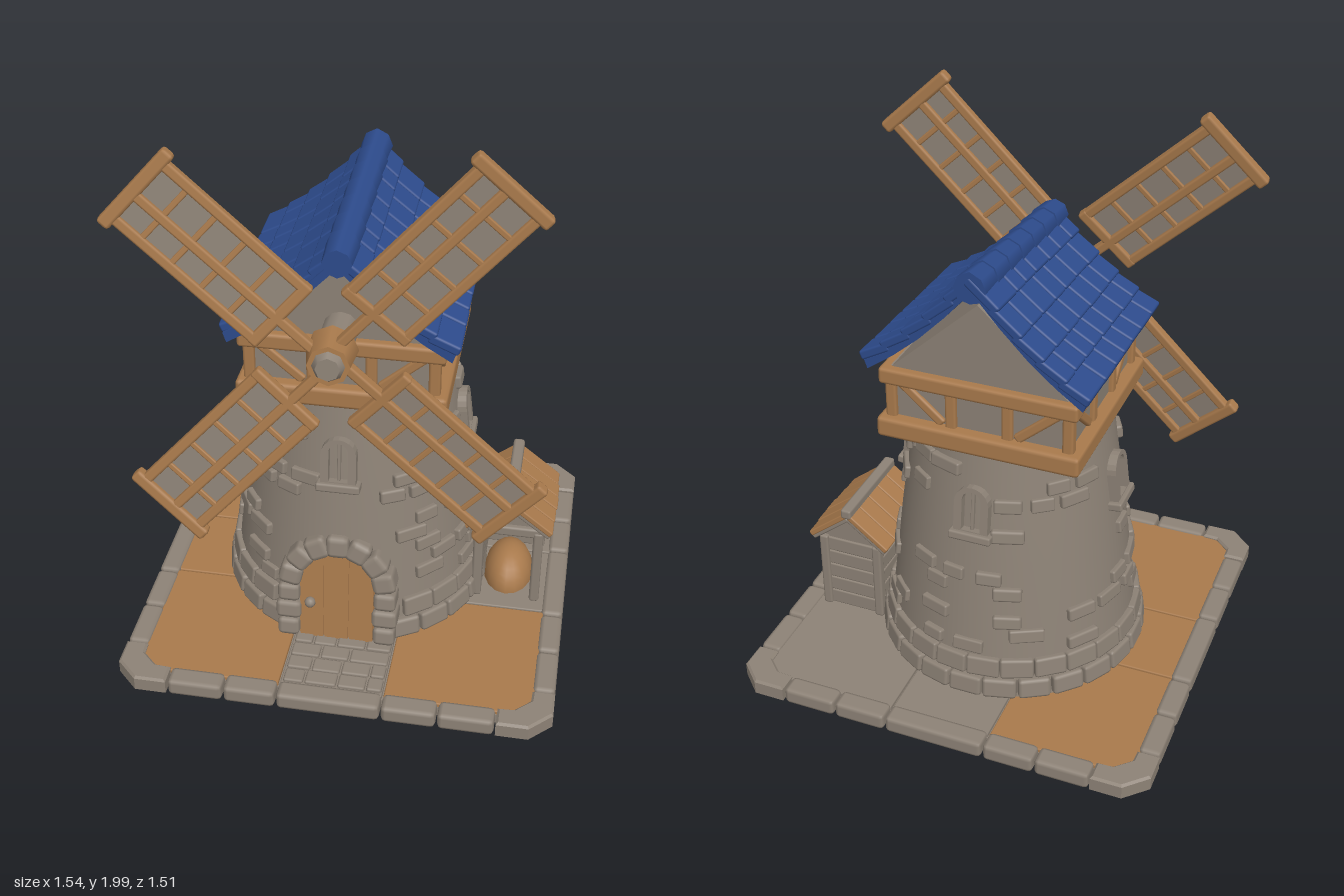
import * as THREE from 'three';
import { RoundedBoxGeometry } from 'three/addons/geometries/RoundedBoxGeometry.js';
import { mergeGeometries } from 'three/addons/utils/BufferGeometryUtils.js';

const mat = (name, color) => {
  const m = new THREE.MeshStandardMaterial({ color });
  m.name = name;
  return m;
};
const stone = mat('stone', 0x8d8276);
const wood = mat('wood', 0xa97a4c);
const blue = mat('roofBlue', 0x2d4b8c);

let seed = 7;
const rnd = () => (seed = (seed * 16807) % 2147483647) / 2147483647;

const CX = -0.03, CZ = -0.04;                    // tower axis
const PROFILE = [[0.05, 0.47], [0.2, 0.45], [0.6, 0.402], [0.85, 0.366], [1.0, 0.345]];
const towerR = (y) => {
  let i = 0;
  while (i < PROFILE.length - 2 && y > PROFILE[i + 1][0]) i++;
  const [y0, r0] = PROFILE[i], [y1, r1] = PROFILE[i + 1];
  return r0 + (r1 - r0) * (y - y0) / (y1 - y0);
};

function add(parent, name, geo, material, x = 0, y = 0, z = 0) {
  const m = new THREE.Mesh(geo, material);
  m.name = name;
  m.position.set(x, y, z);
  parent.add(m);
  return m;
}
const rgeo = (w, h, d) => new RoundedBoxGeometry(w, h, d, 1, Math.min(w, h, d) * 0.25);
const block = (p, name, material, w, h, d, x, y, z) => add(p, name, rgeo(w, h, d), material, x, y, z);
function group(parent, name, x = 0, y = 0, z = 0) {
  const g = new THREE.Group();
  g.name = name;
  g.position.set(x, y, z);
  parent.add(g);
  return g;
}
// Bar between two points in the xy plane
function bar(p, name, material, x0, y0, x1, y1, w, d, z) {
  const m = block(p, name, material, Math.hypot(x1 - x0, y1 - y0), w, d, (x0 + x1) / 2, (y0 + y1) / 2, z);
  m.rotation.z = Math.atan2(y1 - y0, x1 - x0);
  return m;
}
const poly = (pts) => new THREE.Shape(pts.map(([x, y]) => new THREE.Vector2(x, y)));
const extrude = (shape, depth, bevel = 0) => new THREE.ExtrudeGeometry(shape, {
  depth, bevelEnabled: bevel > 0, bevelSize: bevel, bevelThickness: bevel, bevelOffset: -bevel, bevelSegments: 1, curveSegments: 10 });
function archPoints(r, spring) {
  const pts = [[-r, 0], [r, 0]];
  for (let i = 0; i <= 10; i++) pts.push([r * Math.cos(i * Math.PI / 10), spring + r * Math.sin(i * Math.PI / 10)]);
  return pts;
}
// Group lying on the tower wall, facing outward at angle a
function onWall(parent, name, a, y) {
  const r = towerR(y);
  const g = group(parent, name, CX + Math.sin(a) * r, y, CZ + Math.cos(a) * r);
  g.rotation.set(-0.12, a, 0, 'YXZ');
  return g;
}

function buildBase(root) {
  const g = group(root, 'base');
  add(g, 'slab', new THREE.BoxGeometry(1.4, 0.036, 1.38), stone, 0, 0.021, 0);
  // Ground panels, row by row from the back
  const xs = [-0.7, -0.187, 0.18, 0.7], zs = [-0.69, -0.18, 0.16, 0.69];
  const cells = [[wood, stone, stone], [wood, stone, stone], [wood, stone, wood]];
  cells.forEach((row, j) => row.forEach((m, i) => block(g, 'groundPanel', m,
    xs[i + 1] - xs[i] - 0.006, 0.02, zs[j + 1] - zs[j] - 0.006, (xs[i] + xs[i + 1]) / 2, 0.043, (zs[j] + zs[j + 1]) / 2)));
  // Kerb stones along each side
  const cuts = [-0.575, -0.375, -0.187, 0.18, 0.375, 0.575];
  for (let i = 0; i < 5; i++) {
    const len = cuts[i + 1] - cuts[i] - 0.006, mid = (cuts[i] + cuts[i + 1]) / 2;
    for (const s of [-1, 1]) {
      block(g, 'kerbStone', stone, len, 0.065, 0.078, mid, 0.0325, s * 0.716);
      block(g, 'kerbStone', stone, 0.078, 0.065, len, s * 0.729, 0.0325, mid);
    }
  }
  // Chamfered corner kerbs
  const corner = [[0.768, 0.578], [0.768, 0.68], [0.69, 0.755], [0.578, 0.755], [0.578, 0.678], [0.635, 0.675], [0.688, 0.625], [0.69, 0.578]];
  for (const sx of [-1, 1]) for (const sz of [-1, 1]) {
    const pts = corner.map(([x, z]) => [x * sx, z * sz]);
    const m = add(g, 'cornerKerb', extrude(poly(pts), 0.049, 0.008), stone, 0, 0.057, 0);
    m.rotation.x = Math.PI / 2;
  }
  // Cobbled path to the door
  for (let r = 0; r < 4; r++) {
    let x = -0.178;
    while (x < 0.13) {
      let w = 0.07 + rnd() * 0.05;
      if (x + w > 0.13) w = 0.176 - x;
      block(g, 'cobble', stone, w - 0.006, 0.03, 0.06, x + w / 2, 0.047 + rnd() * 0.005, 0.445 + r * 0.066);
      x += w;
    }
  }
}

function buildTower(root) {
  const g = group(root, 'tower');
  const body = PROFILE.map(([y, r]) => new THREE.Vector2(r, y));
  add(g, 'towerWall', new THREE.LatheGeometry(body, 48), stone, CX, 0, CZ);
  const brick = (a, y, w, h, d) => block(onWall(g, 'brick', a, y), 'brickStone', stone, w, h, d, 0, 0, 0);
  // Two base courses, leaving room for the door
  for (let row = 0; row < 2; row++) for (let i = 0; i < 24; i++) {
    const a = (i + row * 0.5) * Math.PI / 12;
    if (Math.cos(a) < 0.9) brick(a, 0.095 + row * 0.08, 0.115 + rnd() * 0.008, 0.075, 0.05 - row * 0.012);
  }
  // Scattered raised bricks
  for (let row = 0; row < 13; row++) for (let i = 0; i < 20; i++) {
    const y = 0.25 + row * 0.056, a = (i + (row % 2) * 0.5) * Math.PI / 10, keep = rnd();
    const nearDoor = Math.cos(a) > 0.82 && y < 0.54;
    const nearWindow = Math.abs(Math.sin(2 * a)) < 0.5 && y > 0.63 && y < 0.92;
    if (keep < 0.36 && !nearDoor && !nearWindow) brick(a, y, 0.08 + rnd() * 0.05, 0.05, 0.026 + rnd() * 0.012);
  }
  // Arched windows on all four sides
  for (let k = 0; k < 4; k++) {
    const w = onWall(g, 'window', k * Math.PI / 2, 0.7);
    const frame = poly(archPoints(0.062, 0.115));
    frame.holes.push(new THREE.Path(archPoints(0.034, 0.115).map(([x, y]) => new THREE.Vector2(x, y + 0.012))));
    add(w, 'windowFrame', extrude(frame, 0.045), stone, 0, 0, -0.02);
    block(w, 'windowSill', stone, 0.155, 0.032, 0.07, 0, -0.008, 0.005);
    block(w, 'windowBar', stone, 0.012, 0.15, 0.02, 0, 0.085, 0.002);
  }
  // Door of three planks with a stone arch
  const d = onWall(g, 'door', 0, 0.06), spring = 0.22, R = 0.135;
  add(d, 'doorBacking', extrude(poly(archPoints(R, spring)), 0.04), wood, 0, 0, -0.038);
  for (let k = 0; k < 3; k++) {
    const x0 = -R + k * 0.09 + 0.003, x1 = x0 + 0.084, pts = [[x0, 0], [x1, 0]];
    for (let i = 0; i <= 5; i++) {
      const x = x1 + (x0 - x1) * i / 5;
      pts.push([x, spring + Math.sqrt(R * R - x * x)]);
    }
    add(d, 'doorPlank', extrude(poly(pts), 0.008), wood, 0, 0, 0.002);
  }
  add(d, 'doorHandle', new THREE.SphereGeometry(0.02, 10, 8), stone, -0.095, 0.15, 0.018);
  for (let i = 0; i < 7; i++) {
    const a = (i + 0.5) * Math.PI / 7;
    const m = block(d, 'archStone', stone, 0.085, 0.083, 0.1, Math.cos(a) * 0.17, spring + Math.sin(a) * 0.17, -0.022);
    m.rotation.z = a;
  }
  for (const s of [-1, 1]) for (let i = 0; i < 3; i++)
    block(d, 'jambStone', stone, 0.08 + (i % 2) * 0.012, 0.07, 0.12, s * 0.173, 0.036 + i * 0.073, -0.032);
}

function buildLoft(root) {
  const g = group(root, 'loft', CX, 0, CZ);
  add(g, 'loftWall', new THREE.BoxGeometry(0.63, 0.25, 0.63), stone, 0, 1.12, 0);
  // Timber frame, the same on each side
  for (let k = 0; k < 4; k++) {
    const s = group(g, 'timberSide');
    s.rotation.y = k * Math.PI / 2;
    block(s, 'lowerBeam', wood, 0.72, 0.075, 0.06, 0, 1.02, 0.33);
    block(s, 'upperBeam', wood, 0.7, 0.06, 0.05, 0, 1.215, 0.325);
    for (const x of [-0.315, -0.1, 0.1]) block(s, 'post', wood, 0.04, 0.16, 0.04, x, 1.12, 0.312);
    for (const m of [-1, 1]) bar(s, 'brace', wood, m * 0.13, 1.06, m * 0.28, 1.19, 0.035, 0.035, 0.31);
  }
  add(g, 'gable', extrude(poly([[-0.32, 1.235], [0.32, 1.235], [0, 1.53]]), 0.64), stone, 0, 0, -0.32);
}

function buildRoof(root) {
  const profile = (u) => [u * 0.385, 1.565 - 0.34 * u + 0.03 * u * u - 0.02 * Math.sin(u * Math.PI)];
  const parts = [];
  // Sheet under the shingles
  const top = [], under = [];
  for (let i = -4; i <= 4; i++) {
    const [x, y] = profile(Math.abs(i) / 4);
    top.unshift([Math.sign(i) * x, y]);
    under.push([Math.sign(i) * x * 0.97, y - 0.035]);
  }
  parts.push(extrude(poly(under.concat(top)), 0.75).translate(0, 0, -0.37));
  // Overlapping shingle rows
  for (const s of [-1, 1]) for (let row = 0; row < 5; row++) {
    const [x0, y0] = profile(row / 5), [x1, y1] = profile((row + 1) / 5);
    const len = Math.hypot(x1 - x0, y1 - y0) + 0.018, ang = Math.atan2(y1 - y0, x1 - x0) + 0.12;
    let z = -0.375;
    while (z < 0.385) {
      let w = 0.08 + rnd() * 0.05;
      if (z + w > 0.33) w = 0.388 - z;
      const q = rgeo(len + rnd() * 0.008, 0.034, w - 0.005);
      q.rotateZ(ang).translate((x0 + x1) / 2, (y0 + y1) / 2 + 0.008, z + w / 2);
      if (s < 0) q.rotateY(Math.PI);
      parts.push(q);
      z += w;
    }
  }
  // Ridge caps
  for (let i = 0; i < 7; i++) {
    const cap = new THREE.CylinderGeometry(0.05, 0.056, 0.115, 8).toNonIndexed();
    parts.push(cap.rotateX(Math.PI / 2).translate(0, 1.55, -0.325 + i * 0.109));
  }
  const geo = mergeGeometries(parts), p = geo.attributes.position;
  // The ridge rises and the eaves lift a little toward the back
  for (let i = 0; i < p.count; i++) {
    const t = (0.39 - p.getZ(i)) / 0.77, u = Math.min(1, Math.abs(p.getX(i)) / 0.385);
    p.setY(i, p.getY(i) + 0.07 * t * (1 - 0.6 * u));
  }
  add(root, 'shingleRoof', geo, blue, CX, 0, CZ);
}

function buildSails(root) {
  const axle = add(root, 'axle', new THREE.CylinderGeometry(0.06, 0.06, 0.16, 12), stone, CX, 1.28, 0.34);
  axle.rotation.x = Math.PI / 2;
  const rotor = group(root, 'sails', CX, 1.28, 0.465);
  rotor.quaternion.setFromUnitVectors(new THREE.Vector3(0, 0, 1), new THREE.Vector3(0.07, 0.075, 1).normalize());
  add(rotor, 'hub', new THREE.CylinderGeometry(0.07, 0.085, 0.12, 8).rotateX(Math.PI / 2), wood);
  add(rotor, 'hubCap', new THREE.CylinderGeometry(0.04, 0.058, 0.03, 8).rotateX(Math.PI / 2), stone, 0, 0, 0.068);
  for (let k = 0; k < 4; k++) {
    const arm = group(rotor, 'sailArm');
    arm.rotation.z = 0.83 + k * Math.PI / 2;
    const b = group(arm, 'sail');
    b.rotation.x = 0.08;
    block(b, 'spine', wood, 0.77, 0.034, 0.04, 0.435, 0.015, 0);
    for (const s of [-1, 1]) block(b, 'rail', wood, 0.61, 0.036, 0.036, 0.505, s * 0.118, 0);
    block(b, 'tipBar', wood, 0.046, 0.32, 0.046, 0.803, 0, 0);
    block(b, 'innerBar', wood, 0.04, 0.275, 0.04, 0.215, 0, 0);
    for (let i = 1; i < 5; i++) block(b, 'rung', wood, 0.02, 0.23, 0.026, 0.215 + i * 0.118, 0, 0);
    add(b, 'sailPanel', new THREE.BoxGeometry(0.58, 0.235, 0.009), stone, 0.51, 0, 0);
  }
}

function buildShed(root) {
  const g = group(root, 'shed', 0.547, 0, -0.075);
  // Plank walls, open at the front
  for (let i = 0; i < 5; i++) {
    const y = 0.085 + i * 0.062;
    for (const s of [-1, 1]) block(g, 'sidePlank', stone, 0.025, 0.06, 0.33, s * 0.105, y, 0);
    block(g, 'backPlank', stone, 0.21, 0.06, 0.025, 0, y, -0.155);
  }
  for (const x of [-0.108, 0.108]) for (const z of [-0.16, 0.165]) block(g, 'cornerPost', stone, 0.036, 0.32, 0.036, x, 0.21, z);
  block(g, 'lintel', stone, 0.25, 0.04, 0.035, 0, 0.365, 0.162);
  add(g, 'shedGable', extrude(poly([[-0.125, 0.36], [0.125, 0.36], [0, 0.475]]), 0.32), stone, 0, 0, -0.16);
  // Hay pile
  const hay = add(g, 'hay', new THREE.SphereGeometry(1, 16, 8, 0, Math.PI * 2, 0, Math.PI / 2), wood, 0, 0.05, 0.02);
  hay.scale.set(0.093, 0.12, 0.14);
  // Roof boards, gable trim and ridge
  for (const s of [-1, 1]) {
    for (let i = 0; i < 5; i++)
      bar(g, 'roofBoard', wood, 0, 0.495, s * (0.15 + rnd() * 0.012), 0.372, 0.022, 0.074, -0.15 + i * 0.075);
    for (const z of [-0.168, 0.168]) bar(g, 'gableTrim', stone, 0, 0.478, s * 0.15, 0.36, 0.026, 0.03, z);
  }
  block(g, 'ridgeBeam', stone, 0.042, 0.04, 0.385, 0, 0.502, 0);
}

export function createModel() {
  const root = new THREE.Group();
  root.name = 'windmill';
  [buildBase, buildTower, buildLoft, buildRoof, buildSails, buildShed].forEach((build) => build(root));
  return root;
}
